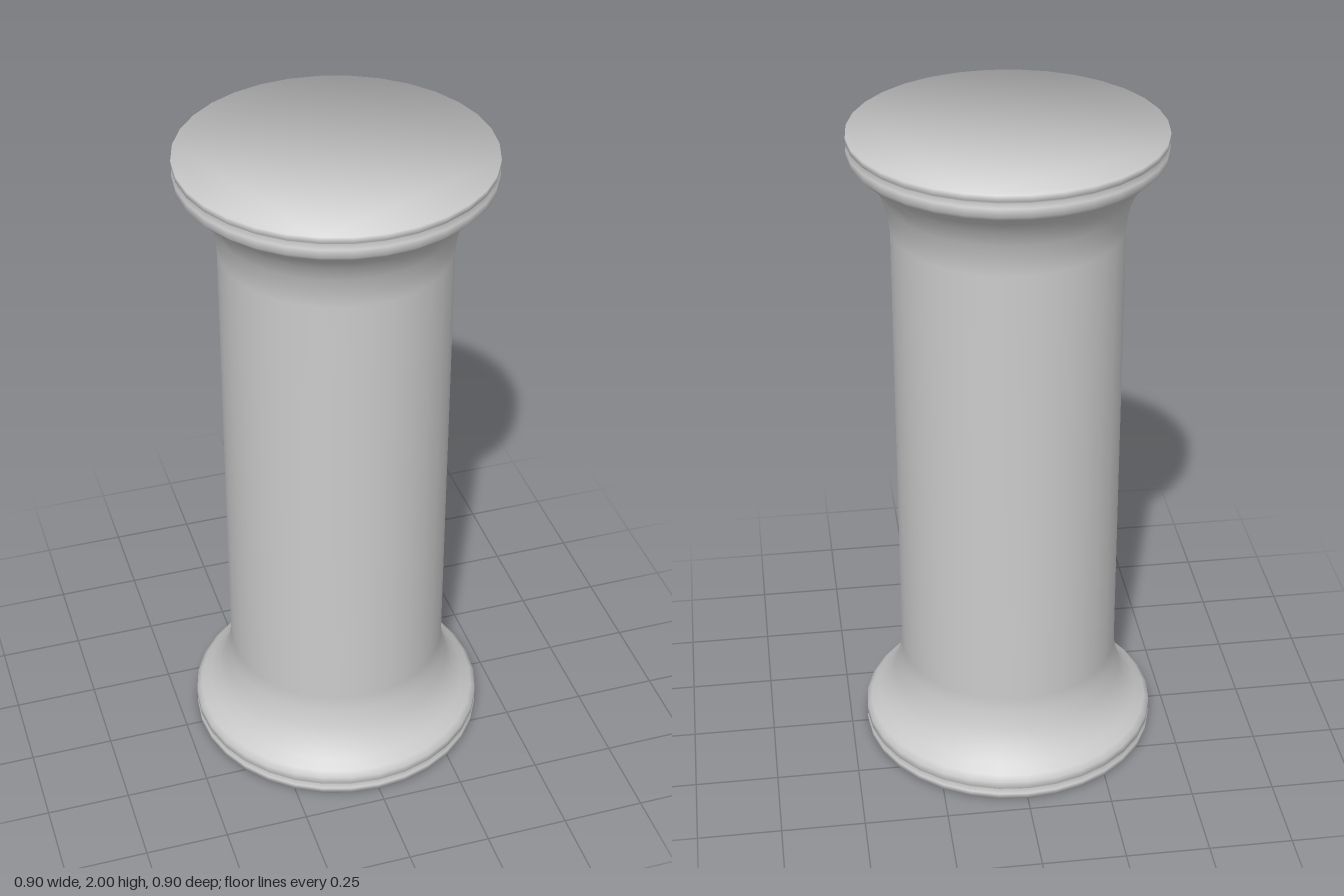
import * as THREE from 'three';

const SIDES = 32;
const RIM = 0.45;
const HEIGHT = 2;

// Lower half of the turned profile: [radius, height]
const foot = [
  [RIM, 0], [RIM, 0.018], [0.438, 0.028], [RIM, 0.038], [RIM, 0.062],
  [0.435, 0.077], [0.407, 0.103], [0.375, 0.14], [0.353, 0.19], [0.341, 0.24], [0.334, 0.29],
];

// Softened normal shared by a cap and the rim around it
function setRimNormal(geometry, i, up) {
  const p = new THREE.Vector3().fromBufferAttribute(geometry.attributes.position, i);
  p.setY(up * RIM).normalize();
  geometry.attributes.normal.setXYZ(i, p.x, p.y, p.z);
}

// Flat end disc whose shading rolls over into the rim
function makeCap(up, material) {
  const ring = [];
  for (let i = 0; i < SIDES; i++) {
    const a = (i / SIDES) * Math.PI * 2;
    ring.push(new THREE.Vector2(RIM * Math.cos(a), RIM * Math.sin(a)));
  }
  const geometry = new THREE.ShapeGeometry(new THREE.Shape(ring));
  geometry.rotateX(-up * Math.PI / 2);
  for (let i = 0; i < geometry.attributes.position.count; i++) setRimNormal(geometry, i, up);
  const cap = new THREE.Mesh(geometry, material);
  cap.position.y = up > 0 ? HEIGHT : 0;
  cap.name = up > 0 ? 'topCap' : 'bottomCap';
  return cap;
}

export function createModel() {
  const group = new THREE.Group();
  group.name = 'column';
  const material = new THREE.MeshStandardMaterial({ color: 0xcccccc });

  // Shaft with a flared base and a mirrored capital
  const head = foot.map(([r, y]) => [r, HEIGHT - y]).reverse();
  const profile = [...foot, ...head].map(([r, y]) => new THREE.Vector2(r, y));
  const geometry = new THREE.LatheGeometry(profile, SIDES);
  const position = geometry.attributes.position;
  for (let i = 0; i < position.count; i++) {
    const y = position.getY(i);
    if (y === 0) setRimNormal(geometry, i, -1);
    if (y === HEIGHT) setRimNormal(geometry, i, 1);
  }
  const shaft = new THREE.Mesh(geometry, material);
  shaft.name = 'shaft';

  group.add(shaft, makeCap(1, material), makeCap(-1, material));
  return group;
}
